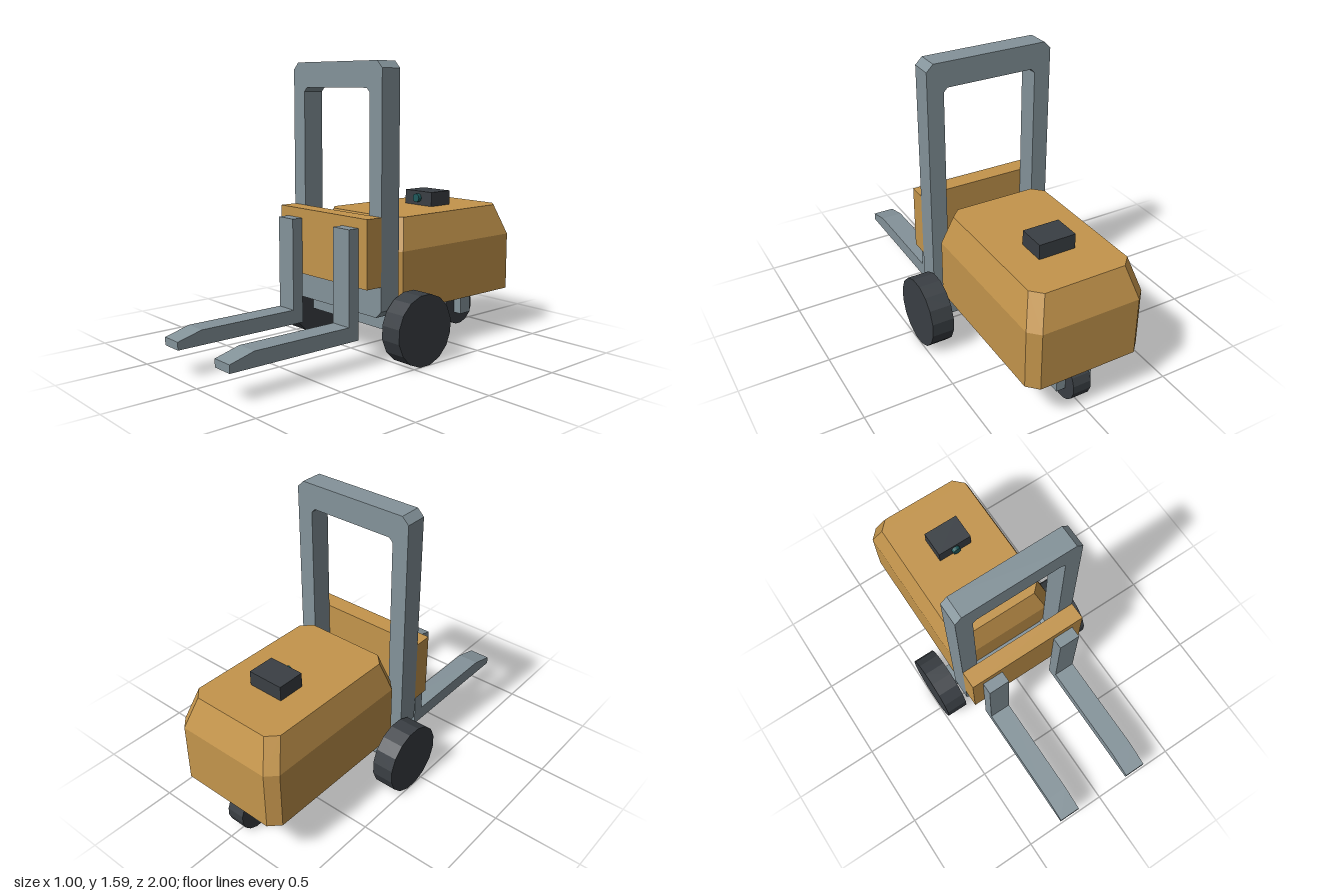
import * as THREE from 'three';
import { ConvexGeometry } from 'three/addons/geometries/ConvexGeometry.js';

const paint = (color) => new THREE.MeshStandardMaterial({ color, flatShading: true });

// Corner points of a rectangle with cut corners, counter-clockwise
function cutRect(x0, y0, x1, y1, c) {
  return [
    [x0 + c, y0], [x1 - c, y0], [x1, y0 + c], [x1, y1 - c],
    [x1 - c, y1], [x0 + c, y1], [x0, y1 - c], [x0, y0 + c],
  ].map(([x, y]) => new THREE.Vector2(x, y));
}

export function createModel() {
  const model = new THREE.Group();
  model.name = 'palletTruck';
  const orange = paint(0xc4954c);
  const steel = paint(0x84939a);
  const dark = paint(0x3a3f44);
  const teal = paint(0x1f5a5c);

  function add(name, geometry, material) {
    const mesh = new THREE.Mesh(geometry, material);
    mesh.name = name;
    model.add(mesh);
    return mesh;
  }

  // Box given by its lower and upper bounds
  function box(name, [x0, y0, z0], [x1, y1, z1], material) {
    const g = new THREE.BoxGeometry(x1 - x0, y1 - y0, z1 - z0);
    g.translate((x0 + x1) / 2, (y0 + y1) / 2, (z0 + z1) / 2);
    return add(name, g, material);
  }

  // Faceted wheel lying along x, resting on a flat facet
  function wheel(name, x, z, apothem, width) {
    const n = 16;
    const r = apothem / Math.cos(Math.PI / n);
    const g = new THREE.CylinderGeometry(r, r, width, n);
    g.rotateY(Math.PI / n).rotateZ(Math.PI / 2).translate(x, apothem, z);
    return add(name, g, dark);
  }

  // Body: cut-corner hull with a sloped upper edge
  const layers = [
    [0.26, 0.335, -1, -0.02], [0.59, 0.335, -1, -0.02], [0.765, 0.285, -0.93, -0.07],
  ];
  const hull = layers.flatMap(([y, x, z0, z1]) =>
    cutRect(-x, z0, x, z1, 0.056).map((p) => new THREE.Vector3(p.x, y, p.y)));
  add('body', new ConvexGeometry(hull), orange);

  // Mast: closed frame with cut corners
  const frame = new THREE.Shape(cutRect(-0.36, 0.26, 0.36, 1.59, 0.038));
  frame.holes.push(new THREE.Path(cutRect(-0.267, 0.4, 0.267, 1.452, 0.022)));
  const mast = new THREE.ExtrudeGeometry(frame, { depth: 0.125, bevelEnabled: false });
  add('mast', mast.translate(0, 0, -0.018), steel);

  // Carriage board on the front of the mast
  box('carriage', [-0.36, 0.43, 0.107], [0.36, 0.795, 0.207], orange);

  // Forks: side profile swept across the width
  const profile = new THREE.Shape([
    [0.207, 0.152], [1, 0.152], [1, 0.195], [0.86, 0.232], [0.272, 0.232], [0.272, 0.742], [0.207, 0.742],
  ].map(([z, y]) => new THREE.Vector2(z, y)));
  const fork = new THREE.ExtrudeGeometry(profile, { depth: 0.125, bevelEnabled: false });
  fork.rotateY(-Math.PI / 2).translate(0.0625, 0, 0);

  for (const [side, s] of [['left', 1], ['right', -1]]) {
    add(side + 'Fork', fork, steel).position.x = s * 0.233;
    wheel(side + 'FrontWheel', s * 0.435, -0.083, 0.192, 0.126);
    // Caster bracket plate
    box(side + 'CasterPlate', [s > 0 ? 0.05 : -0.105, 0.076, -0.885],
      [s > 0 ? 0.105 : -0.05, 0.262, -0.802], steel);
  }

  // Axle and rear caster wheel
  box('axle', [-0.375, 0.152, -0.135], [0.375, 0.257, -0.03], steel);
  wheel('rearWheel', 0, -0.843, 0.115, 0.104);

  // Sensor housing with its lens on the front
  box('sensorHousing', [-0.105, 0.763, -0.685], [0.105, 0.848, -0.53], dark);
  const lens = new THREE.CylinderGeometry(0.025, 0.025, 0.025, 16);
  add('sensorLens', lens.rotateX(Math.PI / 2).translate(0, 0.808, -0.521), teal);

  return model;
}
